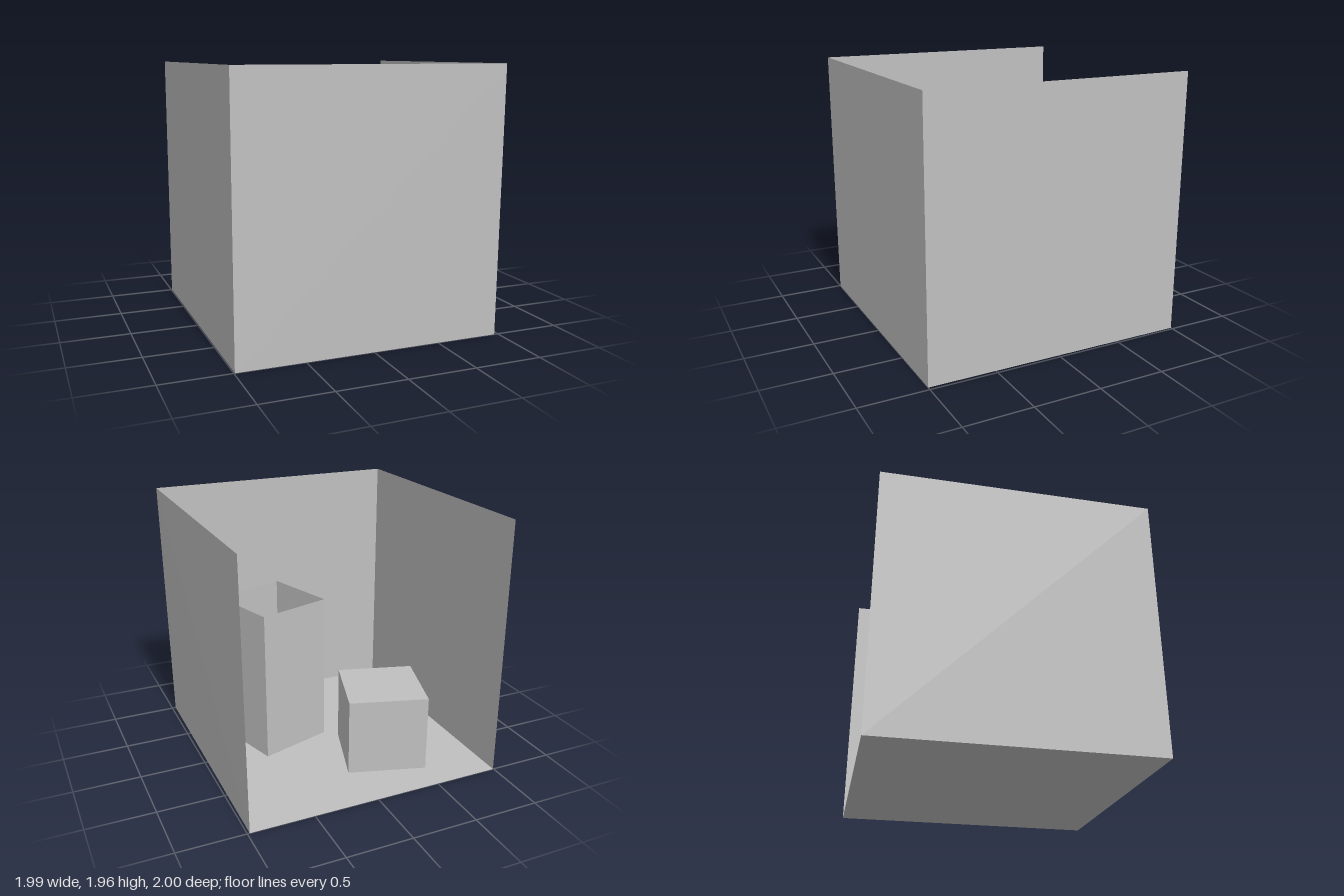
import * as THREE from 'three';

const plaster = new THREE.MeshStandardMaterial({ color: 0xc0c0c0, side: THREE.DoubleSide });
plaster.name = 'greyPlaster';

// One flat-shaded sheet; corners run in order, split along the first-to-third diagonal
function sheet(name, a, b, c, d) {
  const geometry = new THREE.BufferGeometry();
  geometry.setAttribute('position', new THREE.Float32BufferAttribute([a, b, c, a, c, d].flat(), 3));
  geometry.computeVertexNormals();
  const mesh = new THREE.Mesh(geometry, plaster);
  mesh.name = name;
  return mesh;
}

// Turned block standing on the floor: four sides, with an optional lid
function block(name, height, corners, hasLid) {
  const group = new THREE.Group();
  group.name = name;
  const at = (i, y) => [corners[i % 4][0], y, corners[i % 4][1]];
  for (let i = 0; i < 4; i++) {
    group.add(sheet(name + 'Side', at(i, 0), at(i + 1, 0), at(i + 1, height), at(i, height)));
  }
  if (hasLid) group.add(sheet(name + 'Lid', at(0, height), at(1, height), at(2, height), at(3, height)));
  return group;
}

export function createModel() {
  const room = new THREE.Group();
  room.name = 'openRoom';

  // Room corners; the left wall leans slightly, so its floor corners sit inwards
  const top = 1.963, edge = 0.994;
  const rightBack = [-edge, 0, -1], rightFront = [-edge, 0, 1];
  const leftFront = [0.971, 0, 1], leftBack = [0.983, 0, -1];
  const rightBackTop = [-edge, top, -1], rightFrontTop = [-edge, top, 1];
  const leftFrontTop = [edge, top, 1], leftBackTop = [edge, top, -1];

  // Floor and three walls; the back and the ceiling are open
  room.add(
    sheet('floor', rightBack, rightFront, leftFront, leftBack),
    sheet('frontWall', rightFront, leftFront, leftFrontTop, rightFrontTop),
    sheet('rightWall', rightBack, rightFront, rightFrontTop, rightBackTop),
    sheet('leftWall', leftBack, leftBackTop, leftFrontTop, leftFront),
  );

  // Closed low block near the open back, and open-topped tall block behind it
  room.add(
    block('shortBlock', 0.59, [[-0.529, -0.768], [-0.701, -0.195], [-0.136, -0.027], [0.043, -0.592]], true),
    block('tallBlock', 1.18, [[0.519, -0.117], [-0.047, 0.059], [0.129, 0.631], [0.694, 0.452]], false),
  );
  return room;
}
